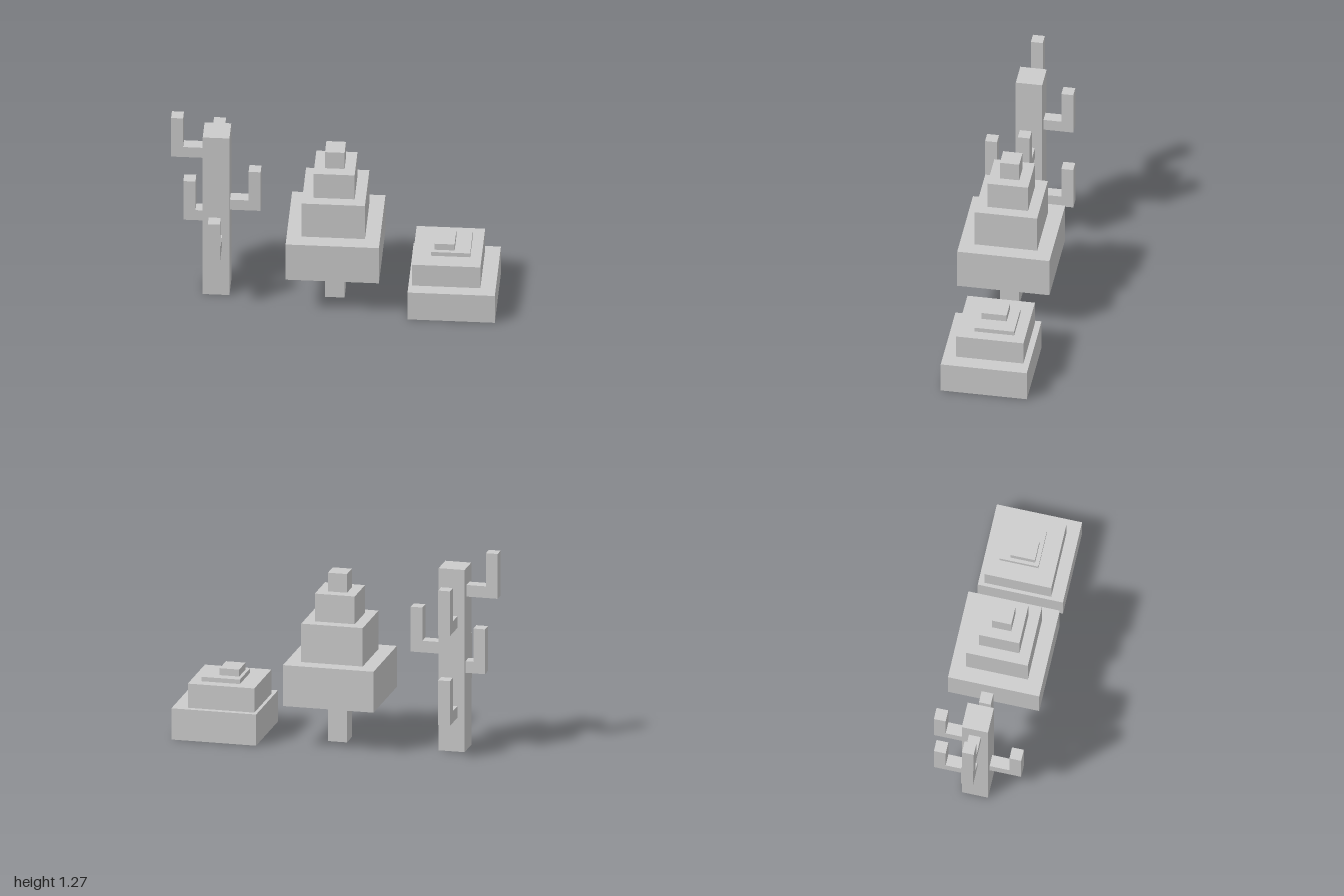
import * as THREE from 'three';

const material = new THREE.MeshStandardMaterial({ color: 0xcccccc, flatShading: true });

// Box from its limits along each axis
function block(name, [x0, x1], [y0, y1], [z0, z1]) {
  const mesh = new THREE.Mesh(new THREE.BoxGeometry(x1 - x0, y1 - y0, z1 - z0), material);
  mesh.name = name;
  mesh.position.set((x0 + x1) / 2, (y0 + y1) / 2, (z0 + z1) / 2);
  return mesh;
}

function group(name, ...parts) {
  const g = new THREE.Group();
  g.name = name;
  g.add(...parts);
  return g;
}

function createCactus() {
  const half = 0.082, t = 0.074, armHeight = 0.286;
  const cactus = group('cactus', block('cactusTrunk', [-half, half], [0, 1.162], [-half, half]));
  cactus.position.x = -0.721;

  // L-shaped arms: turn about the trunk, base height, reach, sideways shift
  const arms = [
    ['upperRightArm', Math.PI, 0.98, 0.279, 0],
    ['lowerRightArm', Math.PI, 0.5, 0.205, 0.022],
    ['leftArm', 0, 0.603, 0.27, 0],
    ['frontArm', -Math.PI / 2, 0.37, 0.28, 0],
    ['upperBackArm', Math.PI / 2, 0.79, 0.267, 0],
    ['lowerBackArm', Math.PI / 2, 0.217, 0.267, 0],
  ];
  for (const [name, turn, y, reach, shift] of arms) {
    const z = [shift - t / 2, shift + t / 2];
    const arm = group(name,
      block('armBar', [half, reach - t], [y, y + t], z),
      block('armPost', [reach - t, reach], [y, y + armHeight], z));
    arm.rotation.y = turn;
    cactus.add(arm);
  }
  return cactus;
}

function createTree() {
  const tree = group('tree');
  tree.position.x = 0.005;
  // Trunk and shrinking foliage tiers: half width, bottom, top
  const tiers = [
    ['treeTrunk', 0.06, 0, 0.272],
    ['foliageBottom', 0.286, 0.272, 0.533],
    ['foliageMiddle', 0.194, 0.533, 0.778],
    ['foliageUpper', 0.126, 0.778, 0.955],
    ['foliageTip', 0.06, 0.955, 1.074],
  ];
  for (const [name, h, y0, y1] of tiers) tree.add(block(name, [-h, h], [y0, y1], [-h, h]));
  return tree;
}

// Off-centre stacked slabs
function createRock() {
  return group('rock',
    block('rockBase', [0.465, 1], [0, 0.199], [-0.267, 0.267]),
    block('rockMiddle', [0.486, 0.906], [0.199, 0.353], [-0.23, 0.189]),
    block('rockSlab', [0.595, 0.836], [0.353, 0.381], [-0.16, 0.084]),
    block('rockTop', [0.616, 0.739], [0.381, 0.425], [-0.097, 0.058]));
}

export function createModel() {
  return group('desertPlantsAndRock', createCactus(), createTree(), createRock());
}
